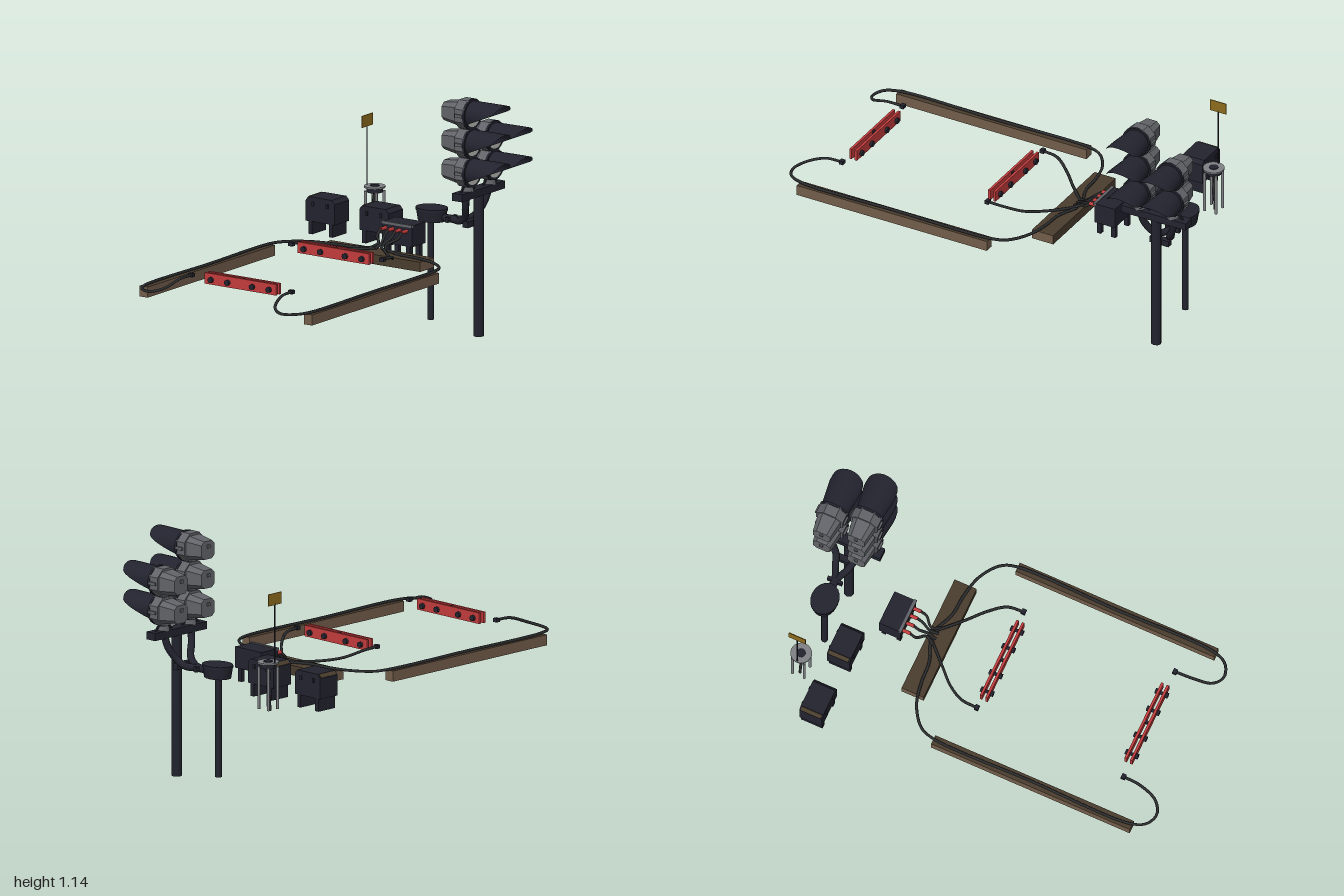
import * as THREE from 'three';

const mat = (name, color, side = THREE.FrontSide) => {
  const m = new THREE.MeshStandardMaterial({ color, side, flatShading: false });
  m.name = name;
  return m;
};

export function createModel() {
  const root = new THREE.Group();
  root.name = 'railSignalSet';

  const dark = mat('darkMetal', 0x23232f, THREE.DoubleSide);
  const grey = mat('greyHousing', 0x626469);
  const lensMat = mat('lensGlass', 0xbcbcb6);
  const wood = mat('lightWood', 0x725d4a);
  const oldWood = mat('darkWood', 0x4a3d2e);
  const red = mat('redPaint', 0xc43c3c);
  const gold = mat('goldSign', 0x8c6a1c);
  const rubber = mat('rubberCable', 0x2b2c2e);
  const pale = mat('paleSteel', 0x7f8185);

  const add = (name, geo, material, x = 0, y = 0, z = 0, parent = root) => {
    const m = new THREE.Mesh(geo, material);
    m.name = name;
    m.position.set(x, y, z);
    parent.add(m);
    return m;
  };
  const group = (name, x = 0, y = 0, z = 0, parent = root) => {
    const g = new THREE.Group();
    g.name = name;
    g.position.set(x, y, z);
    parent.add(g);
    return g;
  };
  const box = (w, h, d) => new THREE.BoxGeometry(w, h, d);
  const cyl = (rt, rb, h, n = 12) => new THREE.CylinderGeometry(rt, rb, h, n);
  const tube = (pts, r, seg = 40, n = 6) => new THREE.TubeGeometry(
    new THREE.CatmullRomCurve3(pts.map(p => new THREE.Vector3(...p)), false, 'centripetal'), seg, r, n);

  // Chamfered square prism along z that tapers from size a (front) to b (back)
  const taperedPrism = (a, b, chamfer, front, back) => {
    const c = 1 - chamfer;
    const pts = [[1, -c], [1, c], [c, 1], [-c, 1], [-1, c], [-1, -c], [-c, -1], [c, -1]];
    const g = new THREE.ExtrudeGeometry(
      new THREE.Shape(pts.map(p => new THREE.Vector2(...p))), { depth: 1, bevelEnabled: false });
    const p = g.attributes.position;
    for (let i = 0; i < p.count; i++) {
      const t = p.getZ(i), s = b + (a - b) * t;
      p.setXYZ(i, p.getX(i) * s, p.getY(i) * s, back + (front - back) * t);
    }
    g.computeVertexNormals();
    return g;
  };

  // Long visor, cut away underneath
  const hoodGeometry = () => {
    const g = new THREE.PlaneGeometry(1, 1, 28, 4), p = g.attributes.position;
    for (let i = 0; i < p.count; i++) {
      const a = p.getX(i) * Math.PI * 1.6, t = p.getY(i) + 0.5, c = Math.cos(a);
      const len = c > 0.4 ? 0.158 + (c - 0.4) * 0.045 : Math.max(0.004, 0.158 * (c + 0.65) / 1.05);
      const z = len * t;
      const rx = 0.064 + 0.016 * Math.min(1, z / 0.12);
      p.setXYZ(i, Math.sin(a) * rx, c * 0.063, z);
    }
    g.computeVertexNormals();
    return g;
  };

  // Signal heads: three on one column, two on the other
  const ringGeo = taperedPrism(0.067, 0.067, 0.55, 0.028, -0.028);
  const bodyGeo = taperedPrism(0.056, 0.043, 0.4, -0.027, -0.115);
  const hoodGeo = hoodGeometry();
  const signalHead = (x, y) => {
    const h = group('signalHead', x, y, 0.255);
    add('headRing', ringGeo, grey, 0, 0, 0, h);
    add('headBody', bodyGeo, grey, 0, 0, 0, h);
    const bezel = new THREE.Mesh(cyl(0.073, 0.073, 0.012, 16), dark);
    bezel.name = 'bezel';
    bezel.rotation.x = Math.PI / 2;
    bezel.position.z = 0.026;
    h.add(bezel);
    add('lens', new THREE.CircleGeometry(0.06, 24), lensMat, 0, 0, 0.034, h);
    add('hood', hoodGeo, dark, 0, 0, 0.03, h);
    add('rearLatch', box(0.016, 0.016, 0.01), grey, 0, 0.018, -0.117, h);
    for (const s of [-1, 1]) add('hinge', box(0.012, 0.014, 0.04), grey, s * 0.07, 0, 0, h);
    add('headJoint', cyl(0.026, 0.026, 0.03), dark, 0, -0.068, 0, h);
  };
  const columns = [[0.735, [0.797, 0.934, 1.071]], [0.91, [0.797, 0.934]]];
  for (const [x, heights] of columns) {
    heights.forEach(y => signalHead(x, y));
    add('columnFoot', cyl(0.024, 0.03, 0.035), grey, x, 0.72, 0.255);
    for (const s of [-1, 1]) {
      const strut = add('footStrut', box(0.008, 0.045, 0.008), dark, x + s * 0.04, 0.718, 0.255);
      strut.rotation.z = s * 0.7;
    }
    // Curved arms from the crossbar to the rear post
    const s = Math.sign(x - 0.823);
    add('curvedArm', tube([[x, 0.68, 0.25], [x - s * 0.012, 0.62, 0.235],
      [0.823 + s * 0.045, 0.565, 0.21], [0.823 + s * 0.03, 0.537, 0.17],
      [0.823 + s * 0.008, 0.533, 0.12], [0.823, 0.533, 0.05]], 0.017, 30, 8), dark);
  }
  add('crossbar', box(0.34, 0.036, 0.056), dark, 0.823, 0.687, 0.255);
  add('mast', cyl(0.025, 0.025, 0.7, 8), dark, 0.823, 0.35, 0.255);
  add('mastCollar', box(0.1, 0.03, 0.03), dark, 0.823, 0.53, 0.215);

  // Rear post with oval cup
  add('rearPost', cyl(0.016, 0.016, 0.475, 10), dark, 0.823, 0.2775, -0.016);
  add('postCup', cyl(0.064, 0.056, 0.055, 20), dark, 0.823, 0.538, -0.01).scale.z = 1.22;
  add('postCupRim', cyl(0.065, 0.065, 0.012, 20), dark, 0.823, 0.566, -0.01).scale.z = 1.22;
  add('armClamp', box(0.075, 0.025, 0.016), dark, 0.823, 0.533, 0.1);

  // Trackside cabinets with sloped lids and plate legs
  const cabinet = z => {
    const g = group('cabinet', 0.645, 0, z);
    const s = new THREE.Shape([[-0.082, 0.477], [0.082, 0.477], [0.082, 0.575], [0.066, 0.593],
      [-0.066, 0.593], [-0.082, 0.575]].map(p => new THREE.Vector2(...p)));
    const body = add('cabinetBody', new THREE.ExtrudeGeometry(s, { depth: 0.114, bevelEnabled: false }),
      dark, 0.057, 0, 0, g);
    body.rotation.y = -Math.PI / 2;
    const trim = add('lidTrim', box(0.1, 0.004, 0.022), oldWood, 0, 0.585, -0.075, g);
    trim.rotation.x = -Math.atan2(0.018, 0.016);
    for (const e of [-1, 1]) {
      add('cabinetLeg', box(0.108, 0.062, 0.021), dark, 0, 0.447, e * 0.058, g);
      for (const k of [-1, 1]) add('lidLatch', box(0.006, 0.02, 0.012), dark, e * 0.06, 0.56, k * 0.04, g);
    }
  };
  cabinet(-0.169);
  cabinet(-0.473);

  // Junction box with four legs and cable plugs
  const hub = group('junctionBox', 0.492, 0, 0.068);
  add('junctionBody', box(0.108, 0.1, 0.17), dark, 0, 0.53, 0, hub);
  add('junctionTrim', box(0.014, 0.012, 0.174), grey, -0.052, 0.578, 0, hub);
  for (const x of [-0.038, 0.038]) for (const z of [-0.06, 0.06])
    add('junctionLeg', box(0.022, 0.066, 0.022), dark, x, 0.45, z, hub);
  [0.005, 0.045, 0.085, 0.123].forEach((z, i) => {
    add('redPlug', cyl(0.009, 0.009, 0.042, 8), red, 0.418, 0.553, z).rotation.z = Math.PI / 2;
    add('plugCable', tube([[0.4, 0.553, z], [0.37, 0.53, z], [0.33, 0.505, 0.04 + i * 0.016],
      [0.29, 0.488, 0.02 + i * 0.03]], 0.007, 16), rubber);
  });

  // Round-topped stand with whip and sign
  const stand = group('stand', 0.802, 0, -0.318);
  add('standTop', cyl(0.05, 0.05, 0.008, 20), pale, 0, 0.63, 0, stand);
  add('standHub', cyl(0.022, 0.022, 0.004, 12), dark, 0, 0.635, 0, stand);
  add('standCollar', cyl(0.038, 0.038, 0.02, 16), dark, 0, 0.615, 0, stand);
  for (const x of [-0.03, 0.03]) for (const z of [-0.031, 0.031])
    add('standLeg', cyl(0.007, 0.007, 0.2, 8), pale, x, 0.51, z, stand);
  add('hangingCable', tube([[0, 0.61, 0.002], [0, 0.56, -0.006], [0, 0.51, 0.004],
    [0, 0.46, -0.007], [0, 0.403, -0.012]], 0.007, 20), rubber, 0, 0, 0, stand);
  add('signPole', cyl(0.003, 0.003, 0.3, 6), dark, 0, 0.77, -0.043, stand);
  add('sign', box(0.085, 0.056, 0.004), gold, 0, 0.937, -0.043, stand);

  // Timbers (material order: +x, -x, top, bottom, +z, -z)
  for (const z of [0.53, -0.4])
    add('longTimber', box(1.005, 0.05, 0.046), [wood, wood, oldWood, oldWood, wood, wood], -0.407, 0.459, z);
  add('crossTimber', box(0.112, 0.046, 0.584), [oldWood, oldWood, oldWood, oldWood, wood, wood],
    0.278, 0.458, 0.062);

  // Paired red rails with cross bolts
  for (const x of [-0.773, -0.04]) {
    const g = group('redRail', x, 0, 0.064);
    for (const s of [-1, 1]) add('railPlate', box(0.012, 0.052, 0.405), red, s * 0.014, 0.538, 0, g);
    for (const z of [-0.164, -0.07, 0.07, 0.164]) {
      add('bolt', cyl(0.009, 0.009, 0.05, 8), dark, 0, 0.535, z, g).rotation.z = Math.PI / 2;
      for (const s of [-1, 1])
        add('boltHead', cyl(0.014, 0.014, 0.012, 8), dark, s * 0.026, 0.535, z, g).rotation.z = Math.PI / 2;
    }
    add('railSpacer', box(0.03, 0.02, 0.012), dark, 0, 0.552, 0, g);
  }

  // Ground cables: mirrored about the centre line z = 0.065
  for (const s of [1, -1]) {
    const m = pts => pts.map(([x, y, d]) => [x, y, 0.065 + s * d]);
    const outer = m([[-0.785, 0.54, 0.283], [-0.87, 0.537, 0.288], [-0.96, 0.505, 0.315],
      [-0.993, 0.49, 0.37], [-0.97, 0.49, 0.43], [-0.9, 0.49, 0.462], [-0.4, 0.489, 0.463],
      [0.1, 0.489, 0.462], [0.17, 0.487, 0.435], [0.235, 0.487, 0.345], [0.262, 0.487, 0.23],
      [0.27, 0.487, 0.13], [0.31, 0.487, 0.03]]);
    add('outerCable', tube(outer, 0.007, 110), rubber);
    const inner = m([[-0.03, 0.54, 0.258], [0.05, 0.533, 0.25], [0.13, 0.505, 0.2],
      [0.2, 0.49, 0.13], [0.26, 0.487, 0.07], [0.31, 0.487, 0.02]]);
    add('innerCable', tube(inner, 0.007, 50), rubber);
    for (const [x, , z] of [outer[0], inner[0]])
      add('cableEnd', box(0.02, 0.018, 0.024), dark, x, 0.54, z);
  }

  return root;
}
